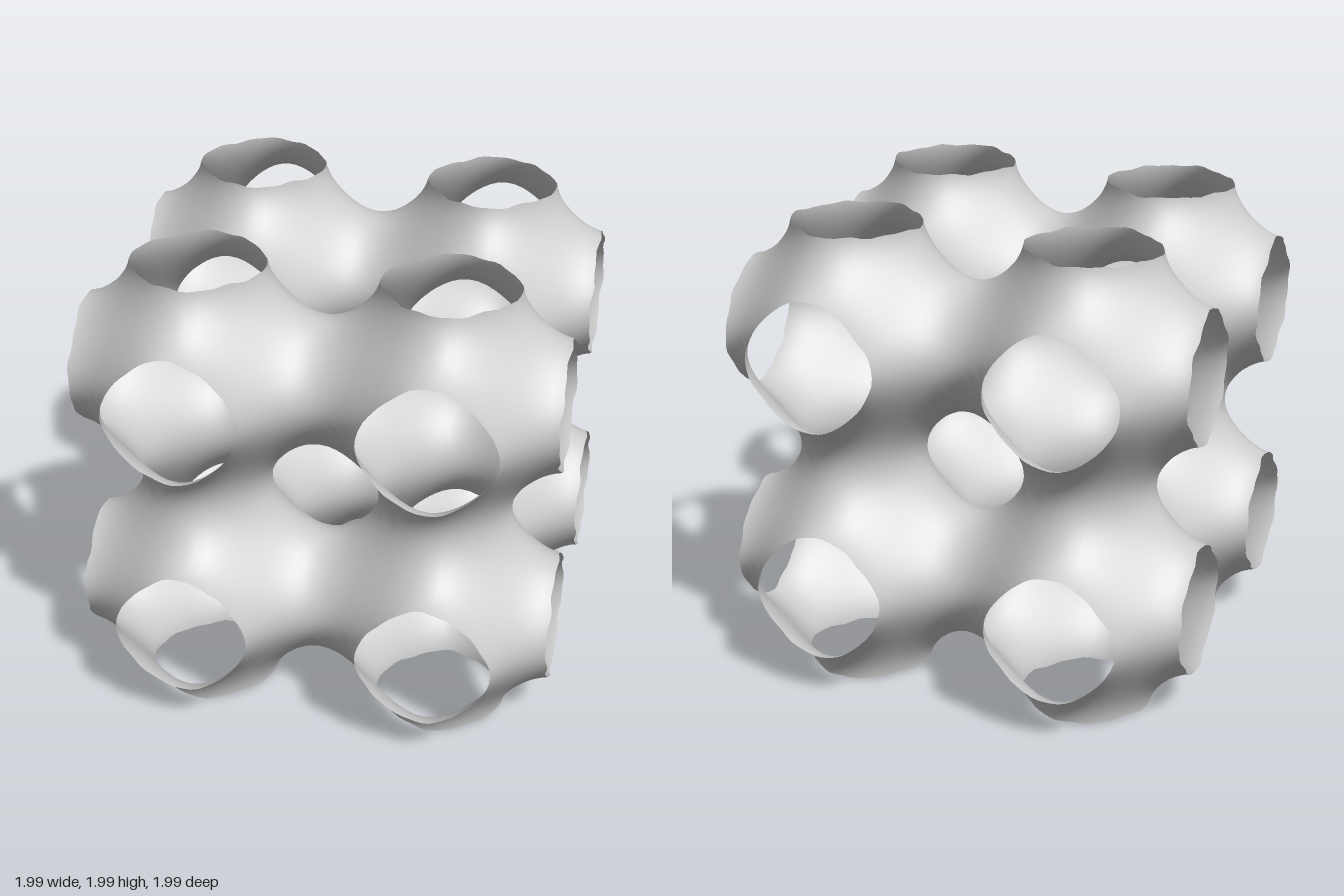
import * as THREE from 'three';

// Triply periodic minimal-style lattice: cos X + cos Y + cos Z = LEVEL, 2 x 2 x 2 cells
const HALF = 0.508;             // half the period of one cell
const OUTER = 0.479;            // trimmed half-size at the open outer rims
const LEVEL = -0.14;
const K = Math.PI / HALF;
const AROUND = 48, ALONG = 10;  // steps around and along each neck

const field = (x, y, z) => Math.cos(K * x) + Math.cos(K * y) + Math.cos(K * z) - LEVEL;

// The field falls steadily away from the cell centre, so bisection finds the wall
function solve(f, max) {
  let lo = 0, hi = max;
  for (let i = 0; i < 30; i++) {
    const mid = (lo + hi) / 2;
    if (f(mid) > 0) lo = mid; else hi = mid;
  }
  return (lo + hi) / 2;
}

// One cell: six funnels, each running from a neck rim to the cube-edge directions
function cellGeometry(signs) {
  const positions = [], normals = [], index = [];
  for (let axis = 0; axis < 3; axis++) {
    for (const side of [-1, 1]) {
      const base = positions.length / 3;
      const outer = side === signs[axis];
      for (let i = 0; i <= AROUND; i++) {
        const phi = (i % AROUND) / AROUND * Math.PI * 2;
        const c = Math.cos(phi), s = Math.sin(phi);
        const m = Math.max(Math.abs(c), Math.abs(s));
        // outer rims are slightly ragged
        const ragged = 0.004 * Math.sin(7 * phi + axis * 2 + side) + 0.003 * Math.sin(13 * phi + signs[0] + 2 * signs[1] + 3 * signs[2]);
        const cut = outer ? OUTER + ragged : HALF;
        const rim = solve(r => field(r * c, r * s, cut), HALF) / cut;
        for (let j = 0; j <= ALONG; j++) {
          const spread = rim + (1 / m - rim) * j / ALONG;
          const du = c * spread, dv = s * spread;
          const w = solve(t => field(t * du, t * dv, t), HALF);
          const p = [0, 0, 0];
          p[axis] = side * w;
          p[(axis + 1) % 3] = w * du;
          p[(axis + 2) % 3] = w * dv;
          const n = new THREE.Vector3(...p.map(q => Math.sin(K * q))).normalize();
          positions.push(...p);
          normals.push(n.x, n.y, n.z);
        }
      }
      const row = ALONG + 1;
      for (let i = 0; i < AROUND; i++) {
        for (let j = 0; j < ALONG; j++) {
          const a = base + i * row + j, b = a + 1, d = a + row, e = d + 1;
          if (side > 0) index.push(a, b, e, a, e, d);
          else index.push(a, e, b, a, d, e);
        }
      }
    }
  }
  const geometry = new THREE.BufferGeometry();
  geometry.setAttribute('position', new THREE.Float32BufferAttribute(positions, 3));
  geometry.setAttribute('normal', new THREE.Float32BufferAttribute(normals, 3));
  geometry.setIndex(index);
  return geometry;
}

export function createModel() {
  const model = new THREE.Group();
  model.name = 'latticeSurface';
  const material = new THREE.MeshStandardMaterial({ color: 0xcccccc, side: THREE.DoubleSide });
  for (const sx of [-1, 1]) for (const sy of [-1, 1]) for (const sz of [-1, 1]) {
    const cell = new THREE.Mesh(cellGeometry([sx, sy, sz]), material);
    cell.name = `${sy > 0 ? 'upper' : 'lower'}${sz > 0 ? 'Front' : 'Back'}${sx > 0 ? 'Left' : 'Right'}Cell`;
    cell.position.set(sx * HALF - 0.002, sy * HALF + 1.007, sz * HALF - 0.004);
    model.add(cell);
  }
  return model;
}
